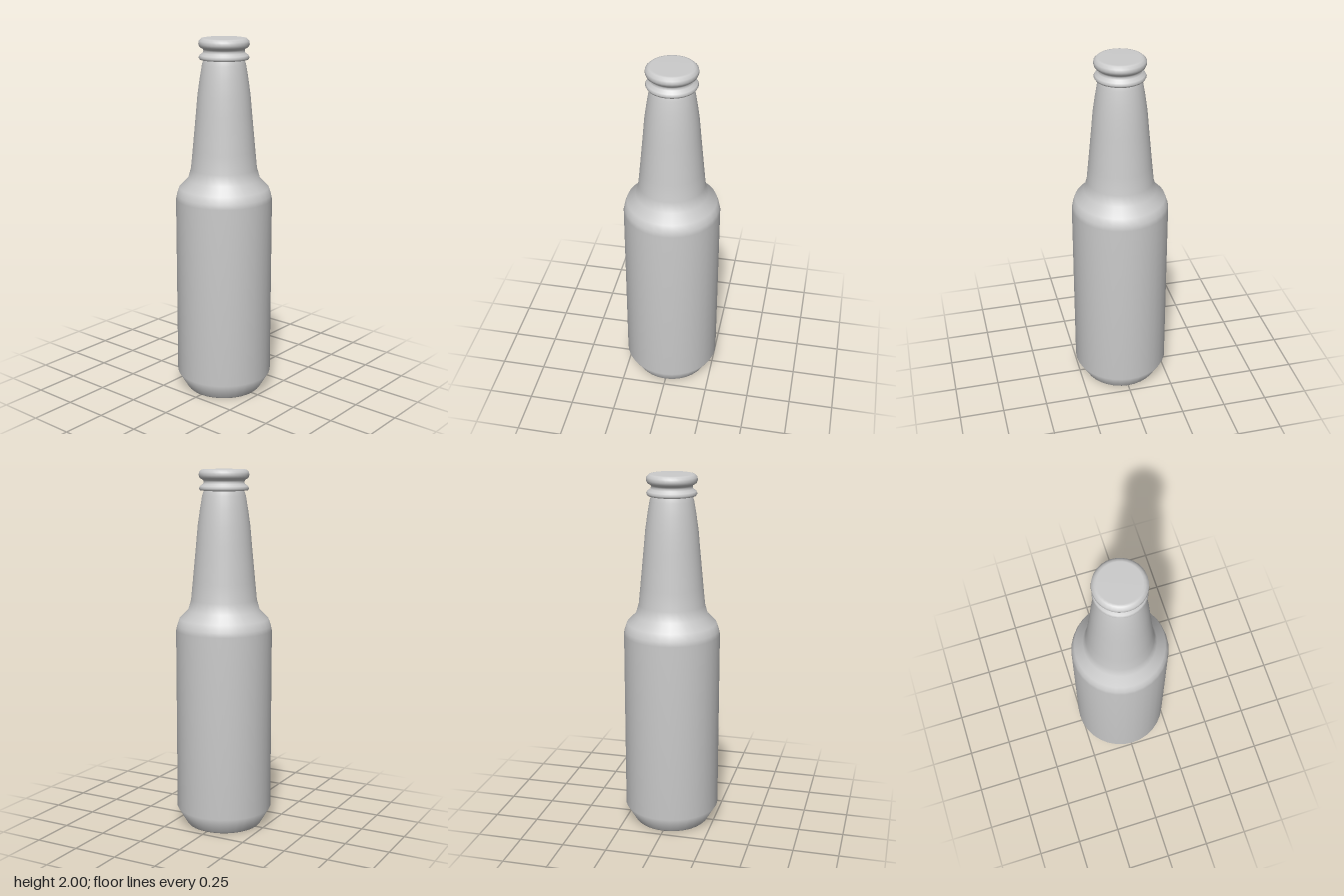
import * as THREE from 'three';

const SEGMENTS = 32;

// Surface of revolution from [radius, height] pairs listed bottom to top
function turned(name, profile, material) {
  const points = profile.map(([r, y]) => new THREE.Vector2(r, y));
  const mesh = new THREE.Mesh(new THREE.LatheGeometry(points, SEGMENTS), material);
  mesh.name = name;
  return mesh;
}

export function createModel() {
  const group = new THREE.Group();
  group.name = 'bottle';
  const material = new THREE.MeshStandardMaterial({ color: 0xcccccc });

  // Base, body, shoulder and neck share one smooth profile
  group.add(turned('bottleBody', [
    [0, 0], [0.205, 0], [0.213, 0.008],   // base
    [0.267, 0.1], [0.267, 1.12],          // straight body
    [0.262, 1.145], [0.248, 1.185], [0.2, 1.232], // shoulder
    [0.183, 1.29], [0.173, 1.39], [0.153, 1.6], [0.144, 1.7], // tapering neck
    [0.131, 1.79], [0.119, 1.86], [0.111, 1.885],
  ], material));

  // Collar ring, groove and closed crown
  group.add(turned('collarAndCap', [
    [0.111, 1.885], [0.131, 1.887], [0.137, 1.898], [0.131, 1.91],
    [0.114, 1.922], [0.111, 1.933], [0.114, 1.942],
    [0.132, 1.953], [0.138, 1.968], [0.136, 1.985], [0.122, 1.998],
    [0.11, 2], [0, 2],
  ], material));

  return group;
}
